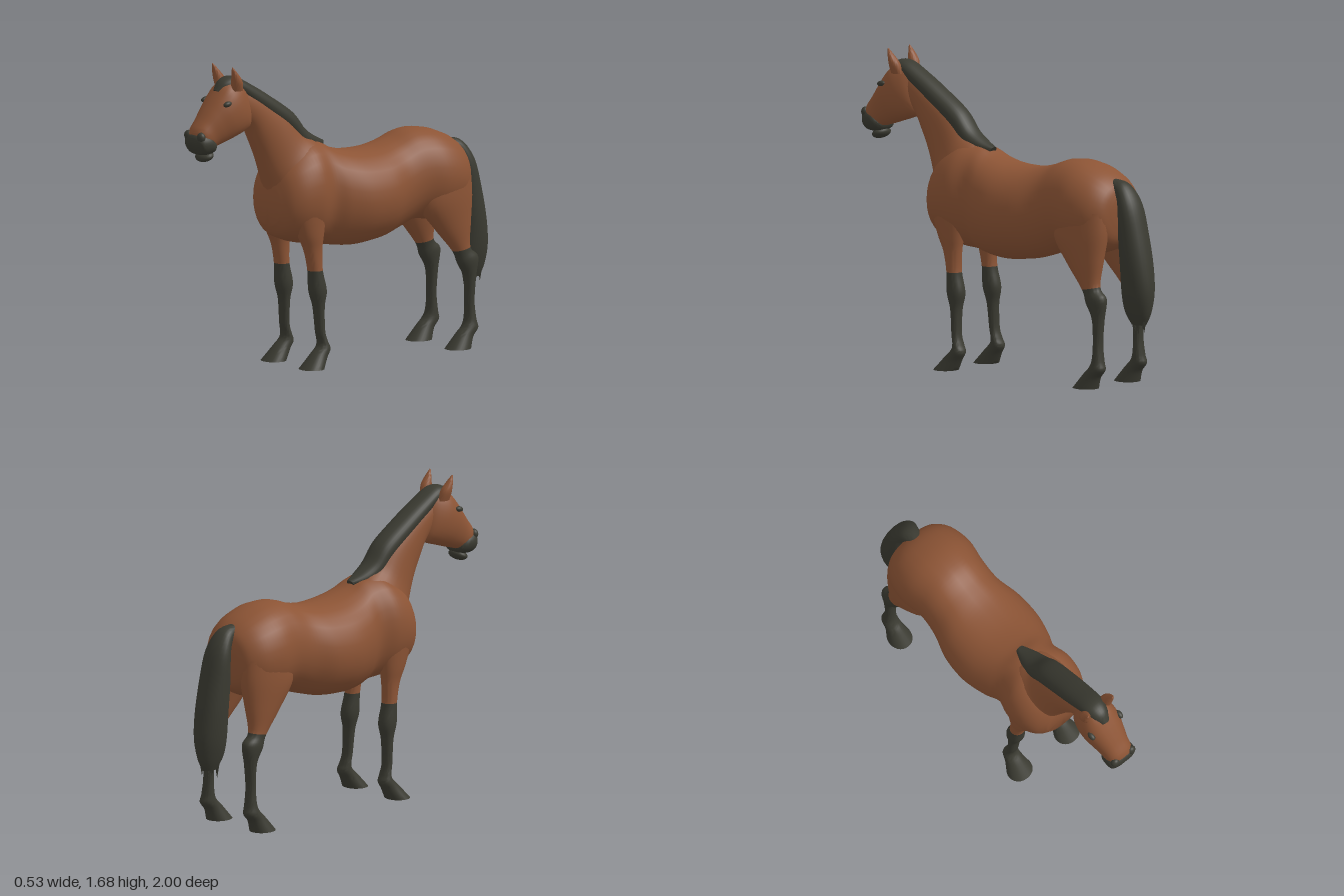
import * as THREE from 'three';
import { toCreasedNormals } from 'three/addons/utils/BufferGeometryUtils.js';

const coat = new THREE.MeshStandardMaterial({ color: 0x8c5435 });
coat.name = 'bay coat';
const dark = new THREE.MeshStandardMaterial({ color: 0x3a3a31 });
dark.name = 'dark hair';

const SIDES = 28, STEPS = 5;

// Catmull-Rom blend of four rows of numbers
function blend(a, b, c, d, t) {
  return b.map((_, i) => 0.5 * (2 * b[i] + (c[i] - a[i]) * t
    + (2 * a[i] - 5 * b[i] + 4 * c[i] - d[i]) * t * t
    + (3 * b[i] - a[i] - 3 * c[i] + d[i]) * t * t * t));
}

// Skin through oval rings; each row is [zA, yA, zB, yB, halfWidth, xCentre].
// A and B are the two ends of the ring in the side plane.
// Rows after index split take the second material.
function loft(name, rows, { power = 0.9, side = 1, split = 0, materials = coat } = {}) {
  const full = rows.map(r => [...r.slice(0, 5), (r[5] || 0) * side]);
  const rings = [];
  for (let i = 0; i < full.length - 1; i++) {
    const a = full[Math.max(i - 1, 0)], d = full[Math.min(i + 2, full.length - 1)];
    for (let s = 0; s < STEPS; s++) rings.push(blend(a, full[i], full[i + 1], d, s / STEPS));
  }
  rings.push(full[full.length - 1]);

  const pos = [], index = [];
  for (const [zA, yA, zB, yB, w, x] of rings) {
    for (let j = 0; j < SIDES; j++) {
      const t = j / SIDES * Math.PI * 2, c = Math.cos(t), s = Math.sin(t);
      pos.push(x + w * Math.sign(s) * Math.abs(s) ** power,
        (yA + yB) / 2 + (yA - yB) / 2 * c, (zA + zB) / 2 + (zA - zB) / 2 * c);
    }
  }
  const n = rings.length, first = n * SIDES, last = first + 1;
  for (const [zA, yA, zB, yB, , x] of [rings[0], rings[n - 1]]) pos.push(x, (yA + yB) / 2, (zA + zB) / 2);
  for (let j = 0; j < SIDES; j++) index.push(first, j, (j + 1) % SIDES);
  for (let i = 0; i < n - 1; i++) {
    for (let j = 0; j < SIDES; j++) {
      const k = (j + 1) % SIDES, a = i * SIDES + j, b = i * SIDES + k;
      index.push(a, a + SIDES, b, b, a + SIDES, b + SIDES);
    }
  }
  const end = (n - 1) * SIDES;
  for (let j = 0; j < SIDES; j++) index.push(last, end + (j + 1) % SIDES, end + j);

  const geo = new THREE.BufferGeometry();
  geo.setAttribute('position', new THREE.Float32BufferAttribute(pos, 3));
  geo.setIndex(index);
  if (split) {
    const cut = SIDES * 3 + split * STEPS * SIDES * 6;
    geo.addGroup(0, cut, 0);
    geo.addGroup(cut, index.length - cut, 1);
  }
  const mesh = new THREE.Mesh(toCreasedNormals(geo, 1.1), materials);
  mesh.name = name;
  return mesh;
}

function ball(name, material, [x, y, z], [rx, ry, rz], tilt = 0) {
  const mesh = new THREE.Mesh(new THREE.SphereGeometry(1, 24, 16), material);
  mesh.name = name;
  mesh.position.set(x, y, z);
  mesh.scale.set(rx, ry, rz);
  mesh.rotation.x = tilt;
  return mesh;
}

export function createModel() {
  const horse = new THREE.Group();
  horse.name = 'horse';

  // Barrel, rump and chest, from back to front
  horse.add(loft('body', [
    [-0.80, 1.03, -0.80, 0.87, 0.09],
    [-0.775, 1.09, -0.78, 0.78, 0.165],
    [-0.70, 1.15, -0.70, 0.72, 0.222],
    [-0.58, 1.195, -0.58, 0.70, 0.24],
    [-0.45, 1.20, -0.45, 0.71, 0.22],
    [-0.33, 1.16, -0.33, 0.67, 0.225],
    [-0.20, 1.133, -0.20, 0.635, 0.26],
    [-0.05, 1.135, -0.05, 0.62, 0.265],
    [0.08, 1.165, 0.08, 0.63, 0.235],
    [0.17, 1.21, 0.17, 0.65, 0.202],
    [0.27, 1.22, 0.27, 0.66, 0.225],
    [0.37, 1.17, 0.37, 0.685, 0.215],
    [0.44, 1.10, 0.44, 0.72, 0.175],
    [0.48, 1.00, 0.48, 0.78, 0.11],
  ], { power: 0.85 }));

  // Neck, from the withers up to the poll
  horse.add(loft('neck', [
    [0.14, 1.17, 0.45, 0.84, 0.19],
    [0.19, 1.22, 0.48, 0.97, 0.15],
    [0.27, 1.27, 0.515, 1.06, 0.115],
    [0.37, 1.38, 0.55, 1.15, 0.095],
    [0.48, 1.46, 0.59, 1.24, 0.085],
    [0.59, 1.53, 0.635, 1.33, 0.078],
    [0.70, 1.585, 0.70, 1.38, 0.07],
  ]));

  // Head, from the poll to the nose
  horse.add(loft('head', [
    [0.69, 1.605, 0.615, 1.39, 0.06],
    [0.74, 1.61, 0.63, 1.335, 0.09],
    [0.80, 1.585, 0.68, 1.31, 0.11],
    [0.85, 1.53, 0.74, 1.29, 0.112],
    [0.90, 1.465, 0.80, 1.27, 0.098],
    [0.94, 1.41, 0.85, 1.255, 0.085],
    [0.975, 1.365, 0.90, 1.24, 0.078],
    [0.99, 1.335, 0.94, 1.24, 0.06],
  ], { power: 0.72 }));
  horse.add(loft('muzzle', [
    [0.90, 1.31, 0.865, 1.245, 0.07],
    [0.935, 1.335, 0.88, 1.225, 0.086],
    [0.975, 1.335, 0.925, 1.215, 0.088],
    [0.995, 1.315, 0.965, 1.22, 0.078],
    [1.0, 1.29, 0.985, 1.245, 0.045],
  ], { power: 0.65, materials: dark }));
  horse.add(ball('lowerLip', dark, [0, 1.205, 0.91], [0.06, 0.028, 0.045], 0.4));

  // Mane along the crest, ending in the forelock
  horse.add(loft('mane', [
    [0.11, 1.205, 0.13, 1.17, 0.025],
    [0.18, 1.24, 0.21, 1.17, 0.055],
    [0.25, 1.29, 0.30, 1.20, 0.07],
    [0.33, 1.385, 0.38, 1.28, 0.075],
    [0.465, 1.478, 0.50, 1.37, 0.075],
    [0.60, 1.56, 0.625, 1.46, 0.072],
    [0.72, 1.62, 0.72, 1.53, 0.065],
    [0.795, 1.607, 0.765, 1.53, 0.052],
    [0.84, 1.555, 0.815, 1.53, 0.025],
  ], { materials: dark }));

  // Tail with ragged strands at its end
  horse.add(loft('tail', [
    [-0.73, 1.07, -0.74, 1.12, 0.035],
    [-0.785, 1.01, -0.825, 1.10, 0.06],
    [-0.80, 0.93, -0.90, 1.00, 0.083],
    [-0.80, 0.80, -0.95, 0.83, 0.09],
    [-0.81, 0.65, -0.985, 0.66, 0.09],
    [-0.815, 0.50, -1.0, 0.52, 0.078],
    [-0.83, 0.41, -0.985, 0.41, 0.055],
    [-0.87, 0.345, -0.955, 0.345, 0.03],
  ], { materials: dark }));
  for (let i = 0; i < 6; i++) {
    const strand = new THREE.Mesh(new THREE.ConeGeometry(0.018, 0.11, 8), dark);
    strand.name = 'tailStrand';
    strand.position.set((i % 2 ? 1 : -1) * 0.014, 0.345 + (i % 3) * 0.012, -0.87 - i * 0.017);
    strand.rotation.x = Math.PI;
    horse.add(strand);
  }

  for (const side of [1, -1]) {
    const name = side > 0 ? 'left' : 'right';
    const leg = { side, split: 3, materials: [coat, dark] };

    // Front leg, shoulder to hoof
    horse.add(loft(name + 'FrontLeg', [
      [0.42, 0.85, 0.20, 0.85, 0.075, 0.135],
      [0.375, 0.73, 0.22, 0.72, 0.06, 0.14],
      [0.335, 0.64, 0.23, 0.64, 0.046, 0.142],
      [0.31, 0.53, 0.23, 0.53, 0.043, 0.145],
      [0.305, 0.42, 0.205, 0.42, 0.048, 0.147],
      [0.28, 0.33, 0.22, 0.33, 0.037, 0.15],
      [0.268, 0.20, 0.22, 0.20, 0.033, 0.155],
      [0.257, 0.15, 0.205, 0.14, 0.038, 0.157],
      [0.265, 0.115, 0.19, 0.10, 0.043, 0.16],
      [0.305, 0.075, 0.215, 0.055, 0.05, 0.162],
      [0.375, 0, 0.245, 0, 0.072, 0.165],
    ], leg));

    // Hind leg, thigh to hoof
    horse.add(loft(name + 'HindLeg', [
      [-0.46, 0.95, -0.785, 0.95, 0.095, 0.13],
      [-0.45, 0.80, -0.79, 0.83, 0.095, 0.135],
      [-0.55, 0.66, -0.775, 0.69, 0.07, 0.148],
      [-0.66, 0.53, -0.765, 0.55, 0.043, 0.16],
      [-0.69, 0.46, -0.815, 0.49, 0.046, 0.165],
      [-0.733, 0.38, -0.80, 0.38, 0.036, 0.165],
      [-0.74, 0.25, -0.79, 0.25, 0.031, 0.165],
      [-0.735, 0.16, -0.80, 0.15, 0.037, 0.167],
      [-0.715, 0.115, -0.81, 0.105, 0.043, 0.17],
      [-0.68, 0.08, -0.775, 0.06, 0.047, 0.17],
      [-0.61, 0, -0.755, 0, 0.066, 0.17],
    ], leg));

    // Ear, eye and nostril
    horse.add(loft(name + 'Ear', [
      [0.705, 1.55, 0.775, 1.55, 0.026, 0.068],
      [0.72, 1.605, 0.78, 1.595, 0.03, 0.078],
      [0.755, 1.65, 0.785, 1.64, 0.02, 0.084],
      [0.785, 1.685, 0.79, 1.682, 0.003, 0.087],
    ], { side }));
    horse.add(ball(name + 'Eye', dark, [side * 0.097, 1.49, 0.828], [0.016, 0.015, 0.026], 0.2));
    horse.add(ball(name + 'Nostril', dark, [side * 0.055, 1.318, 0.975], [0.026, 0.028, 0.022]));
  }
  return horse;
}
